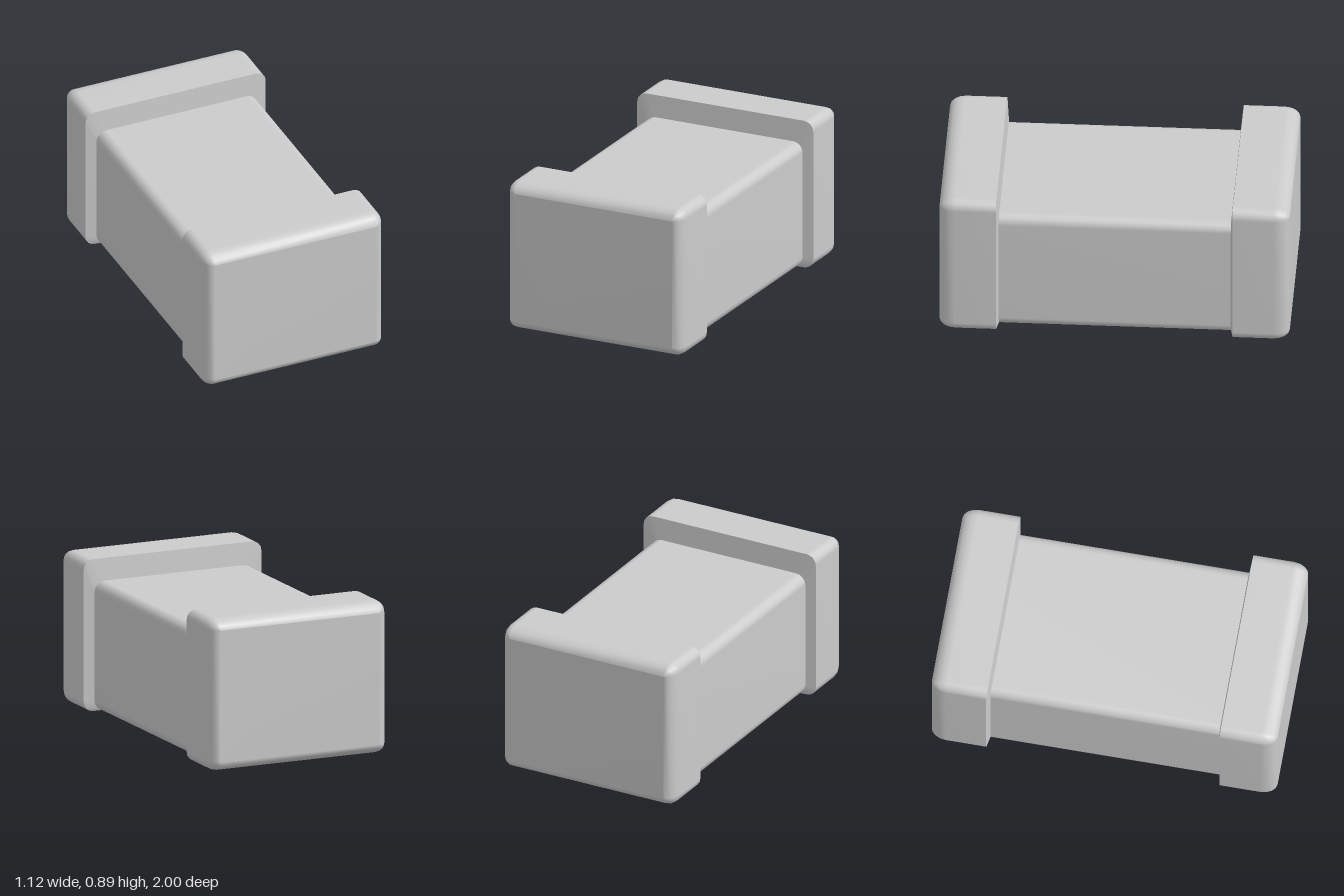
import * as THREE from 'three';

const STEPS = 4; // segments per rounded corner

// Rounded rectangle outline at depth z, counter-clockwise seen from +z.
// cx, y0, y1 locate the corner centres, r is the corner radius.
function outline(z, cx, y0, y1, r) {
  const corners = [[cx, y1], [-cx, y1], [-cx, y0], [cx, y0]];
  const points = [];
  corners.forEach(([x, y], c) => {
    for (let i = 0; i <= STEPS; i++) {
      const a = (c + i / STEPS) * Math.PI / 2;
      points.push([x + r * Math.cos(a), y + r * Math.sin(a), z]);
    }
  });
  return points;
}

// Skin a list of outlines running towards +z; optionally close the last one.
function loft(rings, closeEnd = false) {
  const n = rings[0].length;
  const positions = rings.flat(2);
  const index = [];
  for (let k = 0; k < rings.length - 1; k++) {
    for (let i = 0; i < n; i++) {
      const a = k * n + i, b = k * n + (i + 1) % n;
      index.push(a, b, b + n, a, b + n, a + n);
    }
  }
  if (closeEnd) {
    const last = (rings.length - 1) * n;
    for (let i = 1; i < n - 1; i++) index.push(last, last + i, last + i + 1);
  }
  const geometry = new THREE.BufferGeometry();
  geometry.setAttribute('position', new THREE.Float32BufferAttribute(positions, 3));
  geometry.setIndex(index);
  geometry.computeVertexNormals();
  return geometry;
}

export function createModel() {
  const model = new THREE.Group();
  const material = new THREE.MeshStandardMaterial({ color: 0xcccccc });
  const add = (parent, name, geometry) => {
    const mesh = new THREE.Mesh(geometry, material);
    mesh.name = name;
    parent.add(mesh);
  };

  const bodyOutline = z => outline(z, 0.44, 0.065, 0.7, 0.06);
  const capOutline = (z, r = 0.06) => outline(z, 0.502, 0.06, 0.83, r);

  // Central block between the two end caps
  add(model, 'body', loft([bodyOutline(-0.662), bodyOutline(0.662)]));

  // Cap sides with a rounded outer edge and flat end
  const capRings = [capOutline(0.675)];
  for (let i = 0; i <= STEPS; i++) {
    const a = i / STEPS * Math.PI / 2;
    capRings.push(capOutline(0.91 + 0.09 * Math.sin(a), Math.max(0.06 * Math.cos(a), 0.001)));
  }
  const capShell = loft(capRings, true);
  // Slightly sloping shoulder from the body out to the cap rim
  const shoulder = loft([bodyOutline(0.662), capOutline(0.675)]);

  for (const [name, turn] of [['frontCap', 0], ['backCap', Math.PI]]) {
    const cap = new THREE.Group();
    cap.name = name;
    add(cap, name + 'Shell', capShell);
    add(cap, name + 'Shoulder', shoulder);
    cap.rotation.y = turn;
    model.add(cap);
  }
  return model;
}
